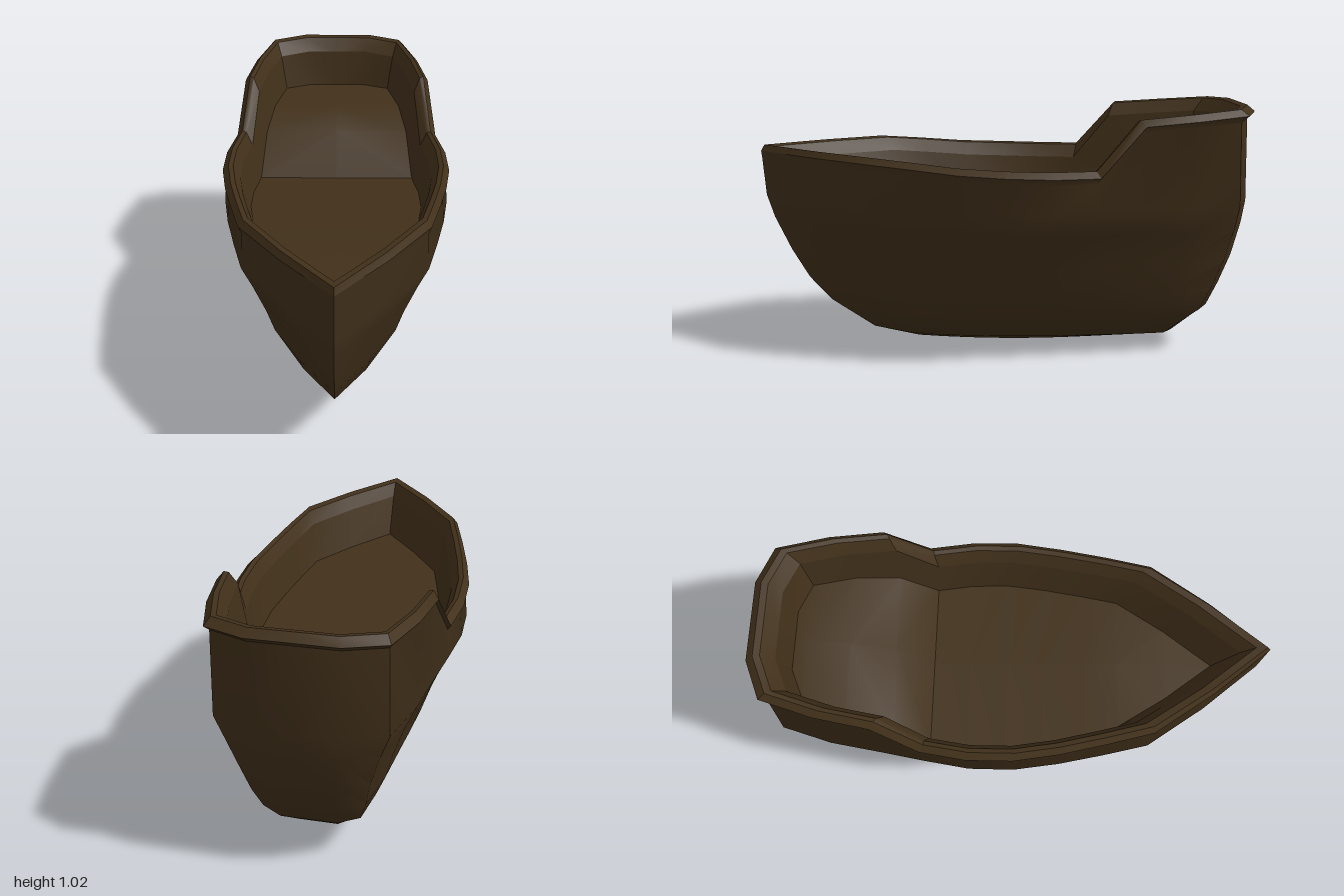
import * as THREE from 'three';
import { toCreasedNormals } from 'three/addons/utils/BufferGeometryUtils.js';

// Stations along one side, bow to stern: z, half width of the rim, rim height, floor height
const stations = [
  [1, 0, 0.845, 0.625], [0.77, 0.19, 0.843, 0.625], [0.54, 0.35, 0.84, 0.625],
  [0.36, 0.395, 0.825, 0.61], [0.18, 0.435, 0.808, 0.595], [0, 0.463, 0.80, 0.585],
  [-0.18, 0.463, 0.795, 0.575], [-0.36, 0.435, 0.795, 0.57], [-0.53, 0.405, 0.985, 0.735],
  [-0.74, 0.37, 1.0, 0.785], [-0.94, 0.31, 1.015, 0.805], [-1, 0.16, 1.02, 0.805], [-1, 0, 1.02, 0.805],
];
// The full loop: down the left side, back up the mirrored right side
const loop = [...stations, ...stations.slice(0, -1).reverse().map(([z, x, t, f]) => [z, -x, t, f])];
const beam = 0.463;

const fixed = (y) => () => y;
const belowRim = (d) => (top) => top - d;
const onFloor = (top, floor) => floor;
const rocker = (top, floor, z) => 0.018 * z * z;

// Each ring: height rule, half width, bow z, stern z, taper (below 1 is fuller at the ends)
const hullRings = [
  [rocker, 0, 0.36, -0.54, 1],
  [fixed(0.06), 0.155, 0.55, -0.71, 0.65],
  [fixed(0.18), 0.26, 0.73, -0.85, 0.85],
  [fixed(0.28), 0.312, 0.82, -0.895, 0.95],
  [fixed(0.40), 0.352, 0.89, -0.94, 1],
  [fixed(0.54), 0.41, 0.955, -0.97, 1],
  [fixed(0.635), 0.46, 0.985, -0.98, 1],
  [belowRim(0.05), 0.448, 0.997, -0.972, 1],
  [belowRim(0.025), 0.463, 1, -1, 1],
];
const rimRings = [
  hullRings[hullRings.length - 1],
  [belowRim(0), 0.438, 0.985, -0.97, 1],
  [belowRim(0.006), 0.42, 0.94, -0.945, 1],
  [belowRim(0.06), 0.392, 0.89, -0.90, 1],
];
const wallRings = [
  rimRings[rimRings.length - 1],
  [onFloor, 0.358, 0.80, -0.87, 1],
];
const deckRings = [
  wallRings[1],
  [onFloor, 0, 0.80, -0.87, 1],
];

// Skin between successive rings, leaving out collapsed triangles
function loft(name, rings, material, crease) {
  const points = rings.map(([height, width, bow, stern, taper]) => loop.map(([z, x, top, floor]) =>
    new THREE.Vector3(
      Math.sign(x) * width * (Math.abs(x) / beam) ** taper,
      height(top, floor, z),
      THREE.MathUtils.mapLinear(z, 1, -1, bow, stern),
    )));
  const positions = [];
  const triangle = (a, b, c) => {
    if (new THREE.Triangle(a, b, c).getArea() < 1e-6) return;
    for (const p of [a, b, c]) positions.push(p.x, p.y, p.z);
  };
  for (let j = 0; j < rings.length - 1; j++) {
    for (let i = 0; i < loop.length - 1; i++) {
      const [a, b] = [points[j][i], points[j][i + 1]];
      const [d, c] = [points[j + 1][i], points[j + 1][i + 1]];
      // Mirror the diagonal so both sides match
      if (i < stations.length - 1) {
        triangle(a, b, c);
        triangle(a, c, d);
      } else {
        triangle(a, b, d);
        triangle(b, c, d);
      }
    }
  }
  const geometry = new THREE.BufferGeometry();
  geometry.setAttribute('position', new THREE.Float32BufferAttribute(positions, 3));
  const mesh = new THREE.Mesh(toCreasedNormals(geometry, crease), material);
  mesh.name = name;
  return mesh;
}

export function createModel() {
  const group = new THREE.Group();
  group.name = 'boat';
  const wood = new THREE.MeshStandardMaterial({ color: 0x41301a, side: THREE.DoubleSide });
  group.add(
    loft('hull', hullRings, wood, 0.85),
    loft('rim', rimRings, wood, 0.5),
    loft('innerWall', wallRings, wood, 0.6),
    loft('deck', deckRings, wood, 0.6),
  );
  return group;
}
